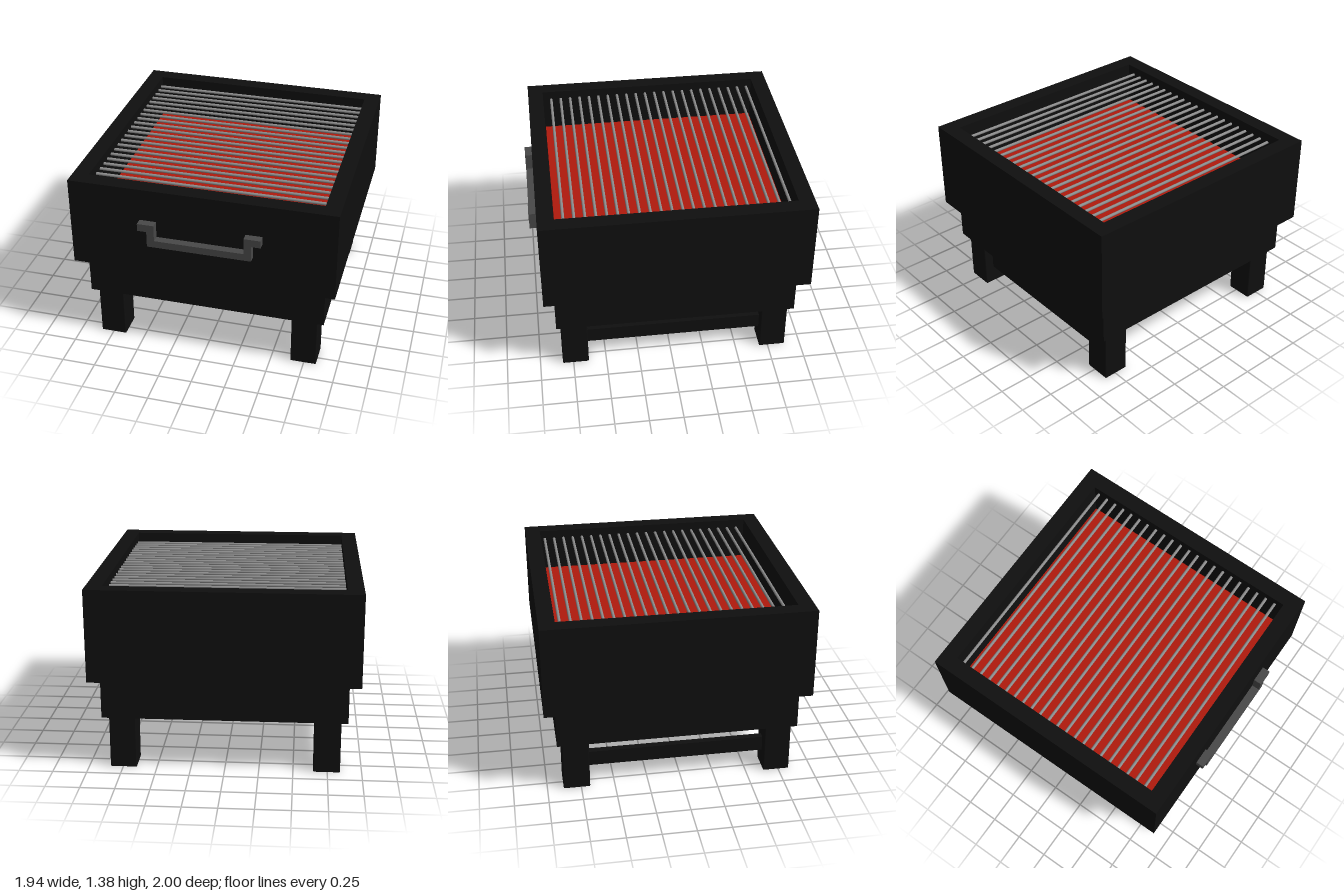
import * as THREE from 'three';
import { RoundedBoxGeometry } from 'three/addons/geometries/RoundedBoxGeometry.js';

const mat = (color) => new THREE.MeshStandardMaterial({ color });

export function createModel() {
  const model = new THREE.Group();
  const black = mat(0x0f0f0f);
  const steel = mat(0x8c8c8c);
  const iron = mat(0x484848);
  const ember = mat(0xb01a0d);
  const zMid = -0.03; // the body sits slightly back to leave room for the handle

  const add = (name, geometry, material, x = 0, y = 0, z = 0) => {
    const mesh = new THREE.Mesh(geometry, material);
    mesh.name = name;
    mesh.position.set(x, y, z);
    model.add(mesh);
    return mesh;
  };

  // Square fire box: a frame with an open top
  const rect = (path, h) => path.moveTo(-h, -h).lineTo(h, -h).lineTo(h, h).lineTo(-h, h).closePath();
  const frame = rect(new THREE.Shape(), 0.972);
  frame.holes.push(rect(new THREE.Path(), 0.855));
  const wall = new THREE.ExtrudeGeometry(frame, { depth: 0.68, bevelEnabled: false });
  wall.rotateX(-Math.PI / 2);
  add('fireBox', wall, black, 0, 0.7, zMid);
  add('fireBoxFloor', new THREE.BoxGeometry(1.72, 0.26, 1.72), black, 0, 0.83, zMid);

  // Narrower base below the fire box
  add('base', new THREE.BoxGeometry(1.78, 0.31, 1.78), black, 0, 0.555, zMid + 0.003);

  // Glowing coal bed
  add('coalBed', new THREE.BoxGeometry(1.696, 0.12, 1.696), ember, 0, 1.0, zMid);

  // Grill bars
  const barGeometry = new THREE.CylinderGeometry(0.011, 0.011, 1.716, 12);
  barGeometry.rotateZ(Math.PI / 2);
  for (let i = 0; i < 22; i++) {
    add('grillBar', barGeometry, steel, 0, 1.31, -0.847 + i * 0.0765);
  }

  // Legs and the side rails joining them
  const legGeometry = new RoundedBoxGeometry(0.195, 0.42, 0.197, 2, 0.008);
  const railGeometry = new THREE.BoxGeometry(0.05, 0.115, 1.36);
  for (const side of [-1, 1]) {
    for (const z of [0.732, -0.782]) add('leg', legGeometry, black, side * 0.745, 0.21, z);
    add('sideRail', railGeometry, black, side * 0.745, 0.198, -0.025);
  }

  // Front handle: a dropped bar with two outward mounting tabs
  const half = [[0.38, 0.957], [0.38, 1.078], [0.447, 1.078], [0.447, 1.135], [0.325, 1.135], [0.325, 1.011]];
  const mirrored = half.map(([x, y]) => [-x, y]).reverse();
  const outline = new THREE.Shape([...half, ...mirrored].map(([x, y]) => new THREE.Vector2(x, y)));
  add('handle', new THREE.ExtrudeGeometry(outline, { depth: 0.06, bevelEnabled: false }), iron, 0, 0, 0.94);

  return model;
}
